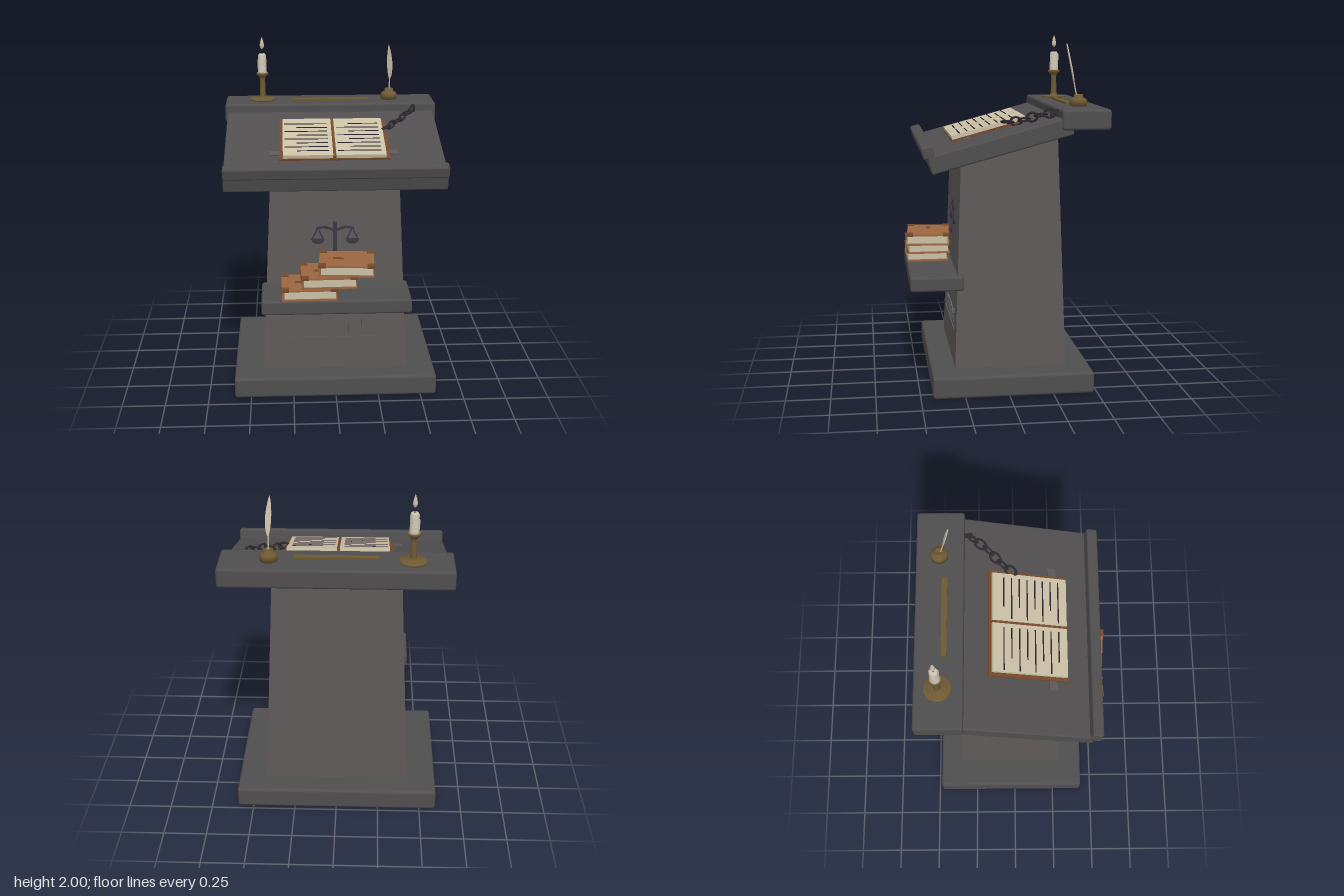
import * as THREE from 'three';
import { RoundedBoxGeometry } from 'three/addons/geometries/RoundedBoxGeometry.js';

const mat = (name, color) => {
  const m = new THREE.MeshStandardMaterial({ color });
  m.name = name;
  return m;
};

export function createModel() {
  const M = {
    stone: mat('column stone', 0x5d5958),
    trim: mat('trim stone', 0x504e4e),
    leather: mat('dark leather', 0x75492a),
    tan: mat('tan leather', 0x9c6640),
    paper: mat('paper', 0xcbc0a6),
    ink: mat('ink', 0x2a2230),
    iron: mat('iron', 0x2d2a30),
    emblem: mat('emblem metal', 0x3b3640),
    brass: mat('brass', 0x6e5932),
    wax: mat('wax', 0xcfc7b4),
  };
  const root = new THREE.Group();
  root.name = 'lectern';

  const add = (parent, name, geo, material, x = 0, y = 0, z = 0) => {
    const m = new THREE.Mesh(geo, material);
    m.name = name;
    m.position.set(x, y, z);
    parent.add(m);
    return m;
  };
  const group = (parent, name, x = 0, y = 0, z = 0) => {
    const g = new THREE.Group();
    g.name = name;
    g.position.set(x, y, z);
    parent.add(g);
    return g;
  };
  // Box given by its min and max on each axis
  const span = (parent, name, material, [x0, x1], [y0, y1], [z0, z1], r = 0) => {
    const s = [x1 - x0, y1 - y0, z1 - z0];
    const geo = r ? new RoundedBoxGeometry(...s, 2, r) : new THREE.BoxGeometry(...s);
    return add(parent, name, geo, material, (x0 + x1) / 2, (y0 + y1) / 2, (z0 + z1) / 2);
  };
  // Flat stroke between two points of a wall
  const stroke = (parent, name, material, x0, y0, x1, y1, w, d = 0.012) => {
    const m = add(parent, name, new THREE.BoxGeometry(Math.hypot(x1 - x0, y1 - y0), w, d),
      material, (x0 + x1) / 2, (y0 + y1) / 2, 0);
    m.rotation.z = Math.atan2(y1 - y0, x1 - x0);
    return m;
  };
  const lathe = (parent, name, material, pts, x, y, z) =>
    add(parent, name, new THREE.LatheGeometry(pts.map(p => new THREE.Vector2(...p)), 24), material, x, y, z);

  // Base, shelf and top ledge
  span(root, 'base', M.trim, [-0.597, 0.594], [0, 0.125], [-0.482, 0.432], 0.018);
  span(root, 'shelf', M.trim, [-0.428, 0.425], [0.575, 0.66], [0.24, 0.545], 0.014);
  span(root, 'topLedge', M.trim, [-0.642, 0.64], [1.5, 1.612], [-0.545, -0.275], 0.016);

  // Tapered column with its top cut to the desk slope
  const colGeo = new THREE.BoxGeometry(2, 1, 2);
  const p = colGeo.attributes.position;
  for (let i = 0; i < p.count; i++) {
    const top = p.getY(i) > 0, front = p.getZ(i) > 0;
    p.setXYZ(i, p.getX(i) * (top ? 0.365 : 0.428),
      top ? (front ? 1.39 : 1.44) : 0.1,
      front ? (top ? 0.248 : 0.296) : (top ? -0.3 : -0.345));
  }
  colGeo.computeVertexNormals();
  add(root, 'column', colGeo, M.stone);

  // Ornaments follow the sloping front of the column
  const face = group(root, 'frontOrnaments', 0, 0, 0.3);
  face.rotation.x = -0.037;
  const frieze = group(face, 'carvedFrieze');
  stroke(frieze, 'friezeLine', M.stone, -0.275, 0.317, 0.275, 0.317, 0.014);
  for (let i = 0; i < 7; i++) {
    const x = -0.235 + i * 0.08;
    stroke(frieze, 'friezeUpright', M.stone, x, 0.35, x, 0.43, 0.014);
    stroke(frieze, 'friezeTick', M.stone, x, 0.425, x + 0.035, i % 2 ? 0.385 : 0.405, 0.013);
  }

  // Balance emblem
  const balance = group(face, 'balanceEmblem');
  stroke(balance, 'pole', M.emblem, 0, 0.84, 0, 1.035, 0.022, 0.016);
  stroke(balance, 'foot', M.emblem, -0.05, 0.845, 0.05, 0.845, 0.02, 0.016);
  for (const s of [-1, 1]) {
    stroke(balance, 'beamInner', M.emblem, 0, 0.985, s * 0.06, 1.005, 0.015);
    stroke(balance, 'beamOuter', M.emblem, s * 0.055, 1.005, s * 0.11, 0.998, 0.013);
    for (const t of [-1, 1])
      stroke(balance, 'panCord', M.emblem, s * 0.1, 1, s * 0.1 + t * 0.033, 0.93, 0.007);
    const bowl = add(balance, 'pan', new THREE.CylinderGeometry(0.037, 0.037, 0.014, 16, 1, false, -Math.PI / 2, Math.PI),
      M.emblem, s * 0.1, 0.932, 0);
    bowl.rotation.x = Math.PI / 2;
    bowl.scale.z = 0.8;
    stroke(balance, 'panRim', M.emblem, s * 0.1 - 0.038, 0.931, s * 0.1 + 0.038, 0.931, 0.008, 0.014);
  }

  // Stacked books on the shelf
  const books = group(root, 'bookStack');
  [[-0.155, 0.66, 0.01], [-0.045, 0.73, 0.02], [0.06, 0.8, -0.07]].forEach(([x, y, turn]) => {
    const b = group(books, 'closedBook', x, y, 0.42);
    b.rotation.y = turn;
    for (const y0 of [0, 0.055])
      span(b, 'cover', M.tan, [-0.155, 0.155], [y0, y0 + 0.011], [-0.122, 0.122]);
    span(b, 'spine', M.tan, [-0.157, -0.143], [0, 0.066], [-0.122, 0.122]);
    span(b, 'pageBlock', M.paper, [-0.143, 0.147], [0.011, 0.055], [-0.113, 0.117]);
    for (const cx of [-0.137, 0.137]) for (const cz of [-0.106, 0.106])
      span(b, 'cornerGuard', M.leather, [cx - 0.021, cx + 0.021], [0.053, 0.07], [cz - 0.019, cz + 0.019]);
    span(b, 'coverPlate', M.leather, [-0.08, -0.02], [0.065, 0.069], [-0.012, 0.012]);
  });

  // Sloping desk; local y = 0 is its upper surface
  const desk = group(root, 'desk', 0, 1.487, 0);
  desk.rotation.x = THREE.MathUtils.degToRad(15.2);
  span(desk, 'deskSlab', M.trim, [-0.628, 0.624], [-0.1, 0], [-0.33, 0.47], 0.01);
  span(desk, 'bookStop', M.trim, [-0.628, 0.624], [-0.012, 0.058], [0.428, 0.492], 0.012);
  span(desk, 'bookRest', M.stone, [-0.37, 0.365], [0, 0.008], [0.2, 0.245]);

  // Open book
  const open = group(desk, 'openBook');
  span(open, 'openCover', M.leather, [-0.317, 0.312], [0.002, 0.013], [-0.15, 0.303]);
  span(open, 'gutter', M.leather, [-0.014, 0.008], [0.013, 0.026], [-0.132, 0.298]);
  for (const s of [-1, 1]) {
    const x0 = s < 0 ? -0.295 : 0.006;
    span(open, 'pages', M.paper, [x0, x0 + 0.284], [0.013, 0.034], [-0.134, 0.298]);
    for (let r = 0; r < 8; r++) {
      const z = -0.068 + r * 0.0452;
      const short = (r % 2 === 1) === (s < 0) ? 0.07 : 0;
      const a = s < 0 ? -0.285 + short : 0.018 + short;
      const e = s < 0 ? -0.035 : 0.265;
      span(open, 'writingLine', M.ink, [a, e], [0.034, 0.036], [z - 0.0035, z + 0.0035]);
    }
  }

  // Chain from the book to a staple on the ledge
  const chain = group(root, 'chain');
  const path = new THREE.CatmullRomCurve3([
    [0.3, 1.52, 0.0], [0.36, 1.53, -0.075], [0.43, 1.56, -0.15], [0.505, 1.59, -0.26],
  ].map(a => new THREE.Vector3(...a)));
  for (let i = 0; i < 6; i++) {
    const t = (i + 0.4) / 6;
    const link = group(chain, 'linkMount');
    link.position.copy(path.getPointAt(t));
    link.lookAt(link.position.clone().add(path.getTangentAt(t)));
    const ring = add(link, 'chainLink', new THREE.TorusGeometry(0.024, 0.006, 8, 20), M.iron);
    ring.rotation.set(0, Math.PI / 2, 0);
    ring.scale.x = 1.45;
    link.rotateZ(i % 2 ? 0.15 : Math.PI / 2 - 0.3);
  }
  span(chain, 'staple', M.iron, [0.5, 0.509], [1.565, 1.605], [-0.278, -0.23]);

  // Pen rail
  span(root, 'penRail', M.brass, [-0.233, 0.23], [1.61, 1.623], [-0.398, -0.367]);

  // Candlestick and candle
  const candle = group(root, 'candle', -0.415, 1.61, -0.414);
  lathe(candle, 'candlestick', M.brass, [[0, 0], [0.075, 0], [0.075, 0.011], [0.022, 0.016], [0.018, 0.03],
    [0.016, 0.13], [0.022, 0.148], [0.036, 0.158], [0.036, 0.17], [0, 0.17]], 0, 0, 0);
  lathe(candle, 'waxStick', M.wax, [[0, 0.165], [0.033, 0.165], [0.026, 0.178], [0.025, 0.275], [0.018, 0.286], [0, 0.282]], 0, 0, 0);
  for (const [a, h, l] of [[0.6, 0.235, 0.04], [2.7, 0.25, 0.03], [4.4, 0.22, 0.05]])
    add(candle, 'waxDrip', new THREE.CapsuleGeometry(0.006, l, 4, 8), M.wax, Math.sin(a) * 0.024, h, Math.cos(a) * 0.024);
  add(candle, 'wick', new THREE.CylinderGeometry(0.003, 0.003, 0.04, 6), M.ink, 0, 0.298, 0);
  lathe(candle, 'flame', M.paper, [[0, 0.312], [0.01, 0.322], [0.014, 0.337], [0.008, 0.365], [0, 0.39]], 0, 0, 0);

  // Inkwell and quill
  const well = group(root, 'inkwell', 0.365, 1.61, -0.414);
  lathe(well, 'inkPot', M.brass, [[0, 0], [0.049, 0], [0.05, 0.03], [0.043, 0.042], [0.026, 0.05], [0.026, 0.066], [0.015, 0.066], [0.015, 0.058], [0, 0.058]], 0, 0, 0);
  const quill = group(well, 'quill', 0.002, 0.05, 0.01);
  quill.rotation.set(0.19, 0, 0.02);
  add(quill, 'quillShaft', new THREE.CylinderGeometry(0.003, 0.004, 0.16, 8), M.paper, 0, 0.07, 0);
  const vane = new THREE.Shape();
  vane.moveTo(0, 0.075);
  vane.bezierCurveTo(0.026, 0.11, 0.022, 0.22, -0.006, 0.305);
  vane.bezierCurveTo(-0.022, 0.24, -0.018, 0.12, 0, 0.075);
  add(quill, 'quillVane', new THREE.ExtrudeGeometry(vane, { depth: 0.006, bevelEnabled: false, curveSegments: 10 }), M.paper, 0, 0, -0.003);

  return root;
}
